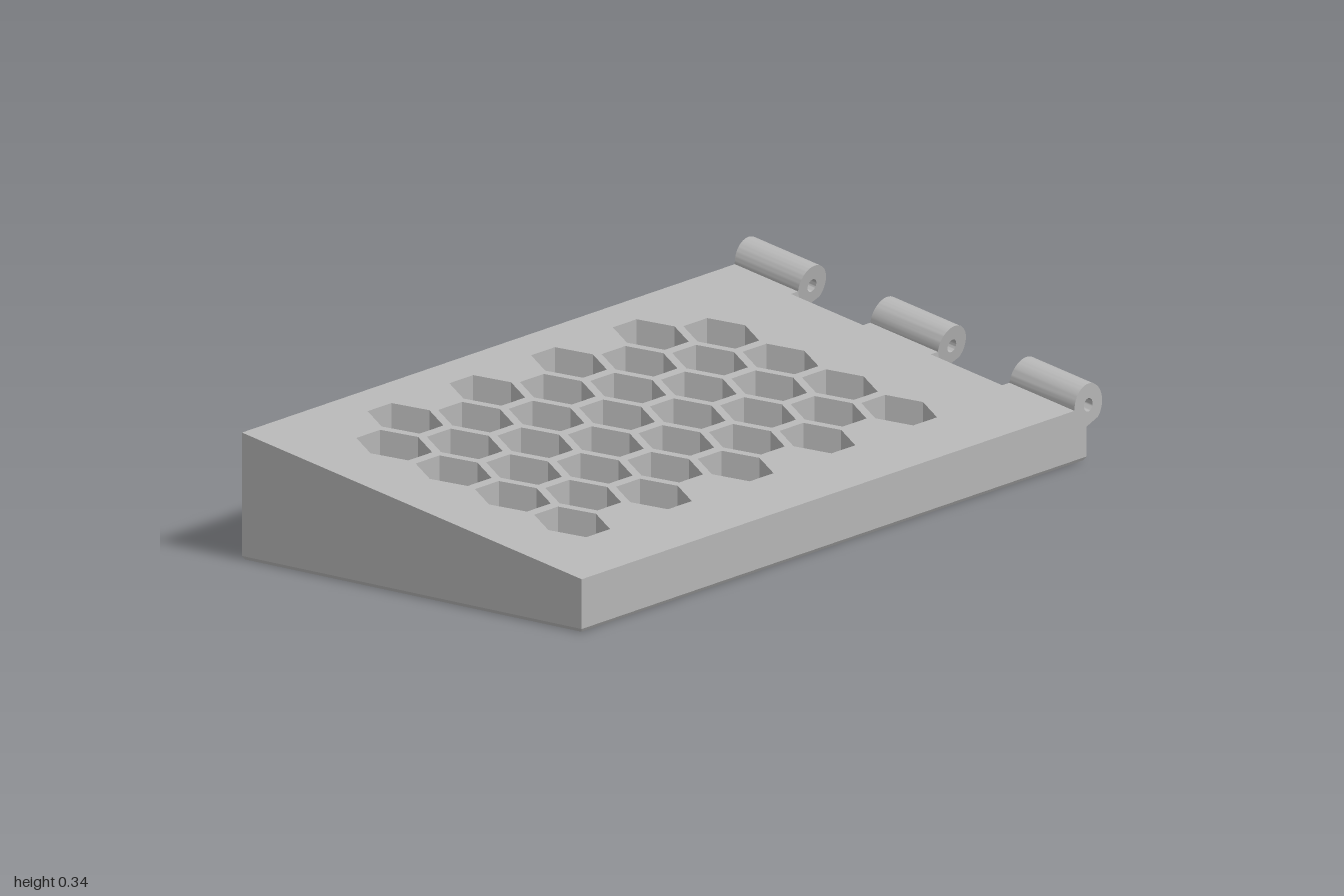
import * as THREE from 'three';
import { toCreasedNormals } from 'three/addons/utils/BufferGeometryUtils.js';

const FRONT = 0.47, BASE = 0.008, SLOPE = 0.1763;
const EDGE = 0.76, STRIP = 0.69, AXIS_X = 0.766, AXIS_Y = 0.003;
const topY = z => 0.12 + (FRONT - z) * SLOPE;

// Move every vertex of a geometry by a rule
function reshape(geo, rule) {
  const p = geo.attributes.position, v = new THREE.Vector3();
  for (let i = 0; i < p.count; i++) {
    rule(v.fromBufferAttribute(p, i));
    p.setXYZ(i, v.x, v.y, v.z);
  }
  return toCreasedNormals(geo.index ? geo.toNonIndexed() : geo, 0.6);
}

// Extrude an x-y profile from back to front, following the sloping top
// Profile points at y = -1 are pinned to the base
function slopedExtrude(shape, zBack, zFront, lean) {
  const geo = new THREE.ExtrudeGeometry(shape, { depth: zFront - zBack, bevelEnabled: false, curveSegments: 24 });
  geo.translate(0, 0, zBack);
  return reshape(geo, v => {
    if (v.y < -0.9) { v.y = BASE; return; }
    const z = v.z;
    if (lean && Math.abs(z) < FRONT - 0.001) v.z += SLOPE * v.y;
    v.y += topY(v.z);
  });
}

// Edge strip profile with a concave corner of radius r
function notchProfile(r) {
  const s = new THREE.Shape();
  s.moveTo(STRIP, -1);
  s.lineTo(EDGE, -1);
  s.absarc(AXIS_X, AXIS_Y, r, 1.5 * Math.PI - Math.asin((AXIS_X - EDGE) / r), Math.PI + Math.asin(AXIS_Y / r), true);
  s.lineTo(STRIP, 0);
  return s;
}

// Knuckle: round barrel with a slanted support underneath and a pin hole
function knuckleProfile() {
  const r = 0.048, s = new THREE.Shape();
  s.moveTo(EDGE, -0.067);
  s.absarc(AXIS_X, AXIS_Y, r, -Math.PI / 4, 1.5 * Math.PI - Math.asin((AXIS_X - EDGE) / r), false);
  s.closePath();
  const hole = new THREE.Path();
  hole.absarc(AXIS_X, AXIS_Y, 0.015, 0, Math.PI * 2, true);
  s.holes.push(hole);
  return s;
}

export function createModel() {
  const model = new THREE.Group();
  const grey = new THREE.MeshStandardMaterial({ color: 0xb4b4b4 });
  grey.name = 'plainGrey';
  const add = (name, geo) => {
    const mesh = new THREE.Mesh(geo, grey);
    mesh.name = name;
    model.add(mesh);
    return mesh;
  };

  // Wedge body with vertical honeycomb wells (shape y is -z)
  const plan = new THREE.Shape();
  plan.moveTo(-1, -FRONT);
  plan.lineTo(STRIP, -FRONT);
  plan.lineTo(STRIP, FRONT);
  plan.lineTo(-1, FRONT);
  plan.closePath();
  for (let col = 0; col < 9; col++) {
    for (let row = 0; row < 4; row++) {
      const x = -0.76 + col * 0.1425;
      const z = (col % 2 ? -0.321 : -0.239) + row * 0.164;
      const hex = new THREE.Path();
      for (let k = 0; k < 6; k++) {
        const a = -k * Math.PI / 3;
        const px = x + 0.083 * Math.cos(a), py = -z + 0.083 * Math.sin(a);
        if (k) hex.lineTo(px, py); else hex.moveTo(px, py);
      }
      hex.closePath();
      plan.holes.push(hex);
    }
  }
  const bodyGeo = new THREE.ExtrudeGeometry(plan, { depth: 1, bevelEnabled: false });
  bodyGeo.rotateX(-Math.PI / 2);
  add('honeycombBody', reshape(bodyGeo, v => { v.y = v.y > 0.5 ? topY(v.z) : BASE; }));

  // Base plate with a chamfered lower edge
  const baseGeo = new THREE.BoxGeometry(EDGE + 1, BASE, FRONT * 2);
  baseGeo.translate((EDGE - 1) / 2, BASE / 2, 0);
  add('basePlate', reshape(baseGeo, v => {
    if (v.y < BASE / 2) {
      v.x += v.x < 0 ? 0.005 : -0.005;
      v.z -= Math.sign(v.z) * 0.005;
    }
  }));

  // Hinge edge: knuckles alternate with scooped clearances
  const stops = [-FRONT, -0.295, -0.095, 0.092, 0.29, FRONT];
  for (let i = 0; i < 5; i++) {
    const isKnuckle = i % 2 === 0;
    add(isKnuckle ? 'knuckleSeat' : 'hingeClearance',
      slopedExtrude(notchProfile(isKnuckle ? 0.047 : 0.073), stops[i], stops[i + 1], false));
    if (isKnuckle) add('hingeKnuckle', slopedExtrude(knuckleProfile(), stops[i], stops[i + 1], true));
  }

  // Latch arms with a raised catch at the tip
  const arm = new THREE.Shape();
  [[0.75, 0.003], [1, 0.003], [1, 0.03], [0.99, 0.06], [0.94, 0.06], [0.94, 0.03], [0.75, 0.03]]
    .forEach(([x, y], i) => (i ? arm.lineTo(x, y) : arm.moveTo(x, y)));
  for (const z of [-0.27, 0.144]) {
    const geo = new THREE.ExtrudeGeometry(arm, { depth: 0.068, bevelEnabled: false });
    add('latchArm', geo).position.z = z;
  }
  return model;
}
